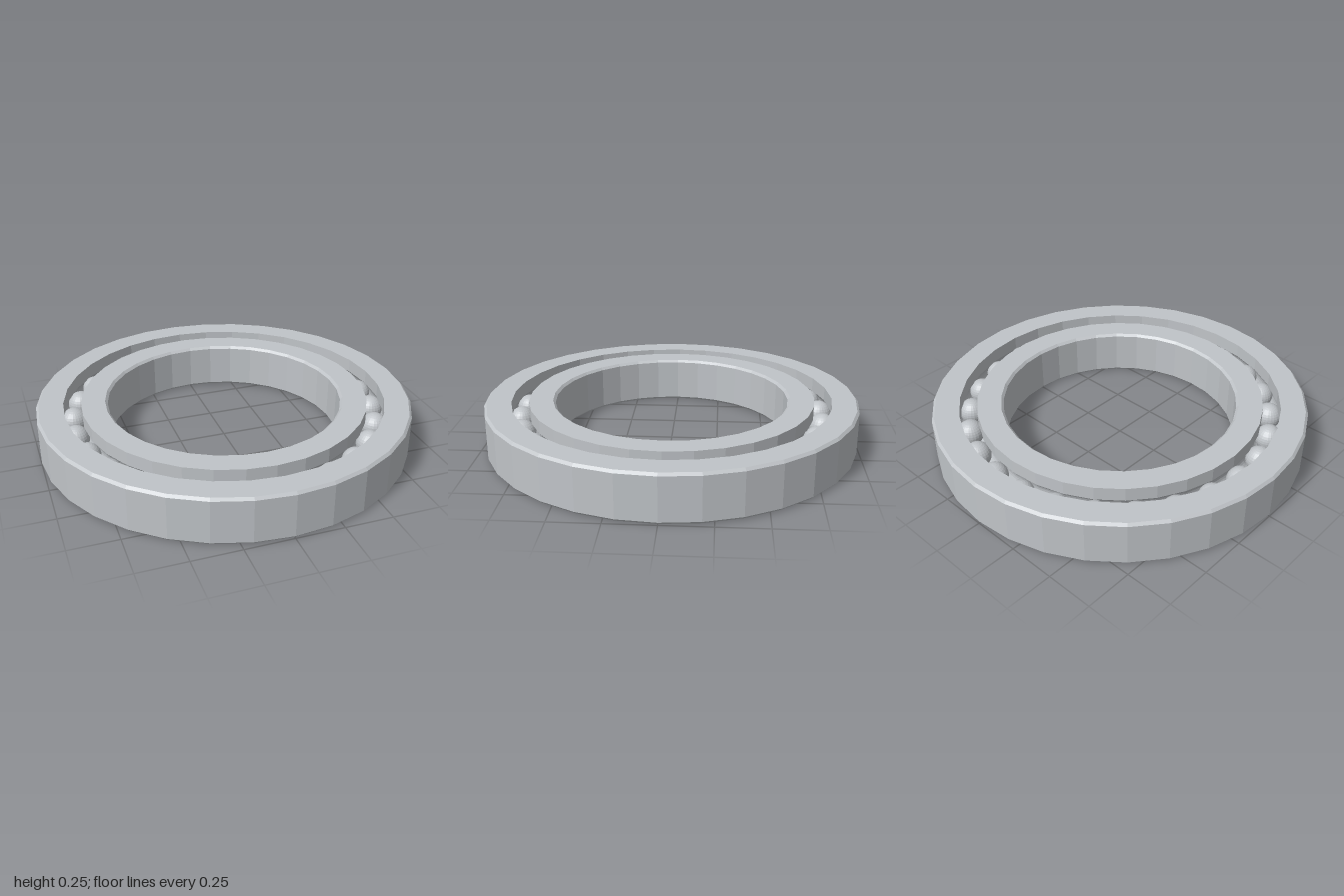
import * as THREE from 'three';

const SIDES = 32, BALLS = 26;
const HEIGHT = 0.25, MID = HEIGHT / 2;
const PITCH = 0.811, BALL_R = 0.07;
const CHAMFER = 0.013;

// Points of a raceway groove cut into a wall at radius r, bulging in direction dir, bottom to top
function groove(r, dir) {
  const inset = Math.abs(r - PITCH);
  const limit = Math.acos(inset / BALL_R);
  const pts = [];
  for (let i = 0; i <= 8; i++) {
    const a = -limit + (2 * limit * i) / 8;
    pts.push([PITCH + dir * BALL_R * Math.cos(a), MID + BALL_R * Math.sin(a)]);
  }
  return pts;
}

// Revolve a closed counter-clockwise (radius, y) profile
function ring(name, profile, material) {
  const pts = [...profile, profile[0]].map(([r, y]) => new THREE.Vector2(r, y));
  const mesh = new THREE.Mesh(new THREE.LatheGeometry(pts, SIDES), material);
  mesh.name = name;
  return mesh;
}

export function createModel() {
  const group = new THREE.Group();
  group.name = 'ballBearing';
  const steel = new THREE.MeshStandardMaterial({ color: 0xc0c4c8, flatShading: true });
  steel.name = 'steel';

  // Outer ring: chamfered outside, raceway inside
  const outerWall = 0.858;
  group.add(ring('outerRing', [
    [outerWall, 0], [1 - CHAMFER, 0], [1, CHAMFER],
    [1, HEIGHT - CHAMFER], [1 - CHAMFER, HEIGHT], [outerWall, HEIGHT],
    ...groove(outerWall, 1).reverse(),
  ], steel));

  // Inner ring: raceway outside, chamfered bore
  const innerWall = 0.765, bore = 0.625;
  group.add(ring('innerRing', [
    [bore + CHAMFER, 0], [innerWall, 0],
    ...groove(innerWall, -1),
    [innerWall, HEIGHT], [bore + CHAMFER, HEIGHT],
    [bore, HEIGHT - CHAMFER], [bore, CHAMFER],
  ], steel));

  // Balls spaced evenly along the raceway
  const ballGeometry = new THREE.SphereGeometry(BALL_R, 24, 16);
  const balls = new THREE.Group();
  balls.name = 'balls';
  for (let i = 0; i < BALLS; i++) {
    const a = (i / BALLS) * Math.PI * 2;
    const ball = new THREE.Mesh(ballGeometry, steel);
    ball.name = 'ball';
    ball.position.set(PITCH * Math.cos(a), MID, PITCH * Math.sin(a));
    balls.add(ball);
  }
  group.add(balls);
  return group;
}
